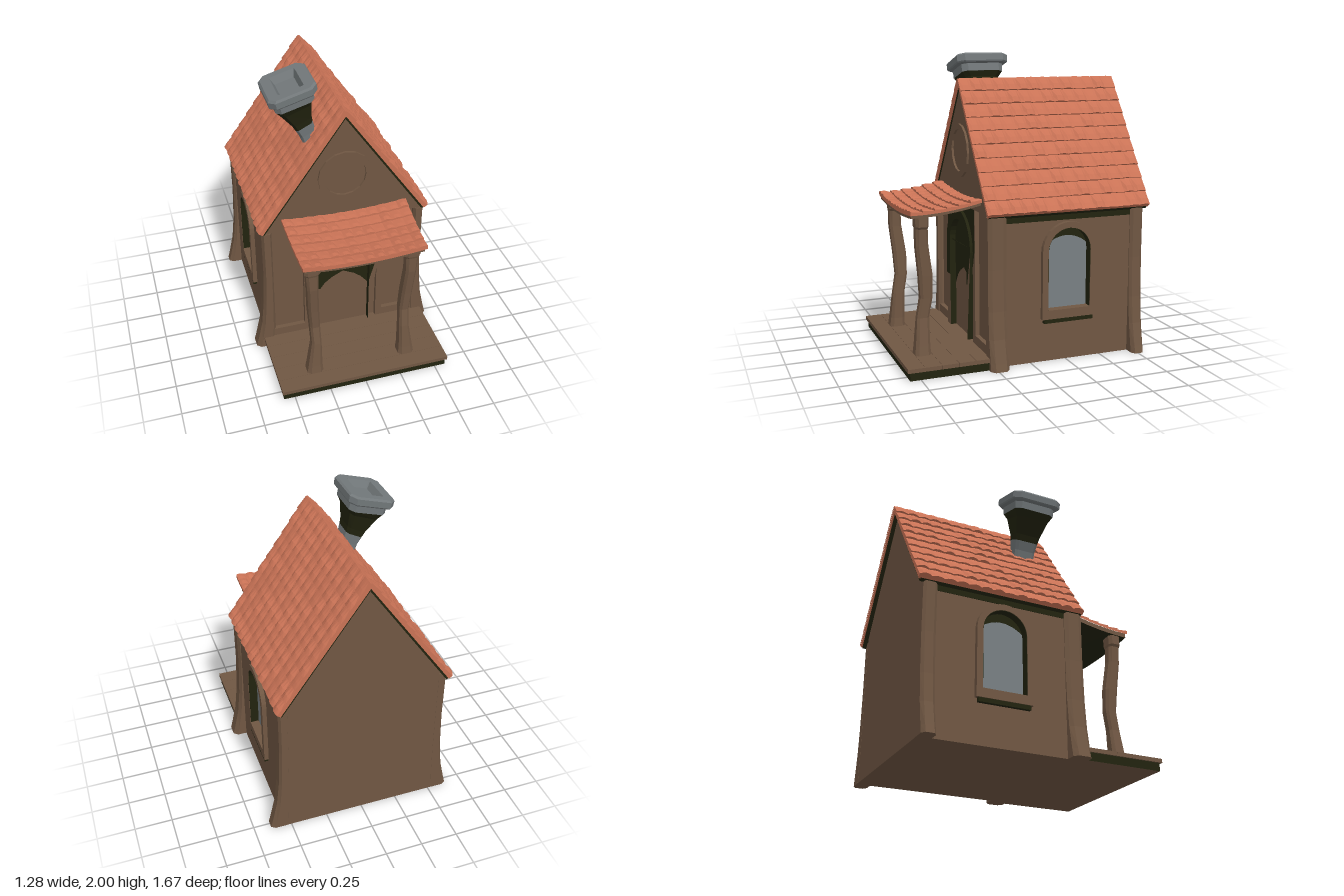
import * as THREE from 'three';

const material = (name, color) => Object.assign(new THREE.MeshStandardMaterial({ color }), { name });
const wood = material('brown wood', 0x705743);
const dark = material('dark timber', 0x22230f);
const tile = material('terracotta tile', 0xca7356);
const stone = material('grey stone', 0x72787a);
const glass = material('window glass', 0x798083);

let seed = 7;
const rand = () => (seed = (seed * 16807) % 2147483647) / 2147483647;
const lerp = THREE.MathUtils.lerp;

function add(parent, name, geometry, mat, x = 0, y = 0, z = 0) {
  const mesh = new THREE.Mesh(geometry, mat);
  mesh.name = name;
  mesh.position.set(x, y, z);
  parent.add(mesh);
  return mesh;
}

// Faceted geometry from points and indices
function faceted(positions, indices) {
  const g = new THREE.BufferGeometry();
  g.setAttribute('position', new THREE.Float32BufferAttribute(positions, 3));
  g.setIndex(indices);
  const flat = g.toNonIndexed();
  flat.computeVertexNormals();
  return flat;
}

// Chamfered rectangles joined upward; section = [x, y, z, halfX, halfZ, tilt, squareness]
function loft(sections) {
  const p = [], idx = [], last = (sections.length - 1) * 8;
  for (const [x, y, z, hx, hz, tilt = 0, c = 0.6] of sections)
    for (const [a, b] of [[1, -c], [1, c], [c, 1], [-c, 1], [-1, c], [-1, -c], [-c, -1], [c, -1]])
      p.push(x + a * hx * Math.cos(tilt), y + a * hx * Math.sin(tilt), z - b * hz);
  for (let s = 0; s < last; s += 8)
    for (let k = 0; k < 8; k++) {
      const a = s + k, b = s + (k + 1) % 8;
      idx.push(a, b, a + 8, b, b + 8, a + 8);
    }
  for (let k = 1; k < 7; k++) idx.push(0, k + 1, k, last, last + k, last + k + 1);
  return faceted(p, idx);
}

// Overlapping barrel tiles on a surface place(u, v, height)
function tiles(rows, cols, place, low, rise, bulge, skirt) {
  const sub = 4, n = cols * sub, p = [], idx = [];
  const line = (v, height) => {
    for (let i = -1; i <= n + 1; i++) {
      const u = Math.min(Math.max(i, 0), n) / n;
      p.push(...place(u, v, i < 0 || i > n ? -skirt : height(i)));
    }
  };
  line(0, () => -skirt);
  for (let r = 0; r < rows; r++) {
    const jitter = Array.from({ length: cols + 1 }, () => 0.4 + 1.2 * rand());
    const arch = i => Math.sin(Math.PI * (i % sub) / sub) * jitter[Math.floor(i / sub)];
    line(r / rows, i => low + bulge * 0.3 * arch(i));
    line((r + 0.6) / rows, i => low + rise * 0.6 + bulge * arch(i));
    line((r + 1) / rows, i => low + rise + bulge * 0.7 * arch(i));
  }
  line(1, () => -skirt);
  const w = n + 3;
  for (let j = 0; j < rows * 3 + 1; j++)
    for (let i = 0; i < w - 1; i++) {
      const a = j * w + i;
      idx.push(a, a + 1, a + w, a + 1, a + w + 1, a + w);
    }
  return faceted(p, idx);
}

// Round-topped outline, and an open band following it
function arch(half, bottom, spring, Type = THREE.Shape) {
  const s = new Type();
  s.moveTo(-half, bottom);
  s.lineTo(half, bottom);
  s.lineTo(half, spring);
  s.absarc(0, spring, half, 0, Math.PI, false);
  s.lineTo(-half, bottom);
  return s;
}
function archBand(outer, inner, bottom, spring) {
  const s = new THREE.Shape();
  s.moveTo(outer, bottom);
  s.absarc(0, spring, outer, 0, Math.PI, false);
  s.lineTo(-outer, bottom);
  s.lineTo(-inner, bottom);
  s.absarc(0, spring, inner, Math.PI, 0, true);
  s.lineTo(inner, bottom);
  return s;
}
const polygon = (pts, Type = THREE.Shape) => new Type(pts.map(q => new THREE.Vector2(...q)));
const rect = (x0, x1, y0, y1, Type) => polygon([[x0, y0], [x1, y0], [x1, y1], [x0, y1], [x0, y0]], Type);
function extrude(shape, depth, ...holes) {
  shape.holes.push(...holes);
  return new THREE.ExtrudeGeometry(shape, { depth, bevelEnabled: false, curveSegments: 8 });
}
const gable = half => polygon([[-half, 0], [half, 0], [half, 1.79 - 1.42 * half],
  [0, 1.79], [-half, 1.79 - 1.42 * half]]);

function addWalls(house) {
  add(house, 'houseCore', extrude(gable(0.51), 1.06), wood, 0, 0, -0.8);
  // Front face with panel and door recesses
  add(house, 'frontWall', extrude(gable(0.545), 0.03, arch(0.24, 0.08, 0.7, THREE.Path),
    rect(-0.515, -0.285, 0.14, 0.99, THREE.Path), rect(0.285, 0.515, 0.14, 0.99, THREE.Path)), wood, 0, 0, 0.26);
  add(house, 'doorFrame', extrude(archBand(0.25, 0.18, 0.08, 0.7), 0.05), [wood, dark], 0, 0, 0.26);
  add(house, 'door', extrude(arch(0.18, 0.08, 0.7), 0.008), wood, 0, 0, 0.26);
  // Dark upper door with a ragged lower edge, carried onto the frame and wall
  const ragged = polygon([[-0.18, 0.39], [-0.13, 0.46], [-0.08, 0.5], [0, 0.54], [0.08, 0.5], [0.13, 0.46], [0.18, 0.4]]);
  ragged.absarc(0, 0.7, 0.18, 0, Math.PI, false);
  add(house, 'doorUpperPanel', extrude(ragged, 0.002), dark, 0, 0, 0.268);
  add(house, 'doorFrameTop', extrude(archBand(0.25, 0.18, 0.45, 0.7), 0.002), dark, 0, 0, 0.31);
  add(house, 'doorSurround', extrude(archBand(0.272, 0.245, 0.6, 0.7), 0.002), dark, 0, 0, 0.29);
  add(house, 'doorSpandrels', extrude(rect(-0.275, 0.275, 0.7, 0.99), 0.002, arch(0.24, 0.71, 0.712, THREE.Path)),
    dark, 0, 0, 0.2905);
  // Round gable trim
  const ring = new THREE.Shape().absarc(0, 0, 0.182, 0, Math.PI * 2);
  const hole = new THREE.Path().absarc(0, 0, 0.142, 0, Math.PI * 2);
  add(house, 'gableRing', extrude(ring, 0.02, hole), wood, 0, 1.35, 0.285);

  for (const side of [1, -1]) {
    // Side wall with its arched window
    const wall = new THREE.Group();
    wall.name = side > 0 ? 'leftWall' : 'rightWall';
    wall.position.set(side * 0.51, 0, -0.26);
    wall.rotation.y = side * Math.PI / 2;
    add(wall, 'sideWall', extrude(rect(-0.54, 0.54, 0, 1.01), 0.035, arch(0.15, 0.35, 0.74, THREE.Path)), wood);
    add(wall, 'eaveBand', extrude(rect(-0.5, 0.5, 0.94, 1), 0.004), dark, 0, 0, 0.034);
    add(wall, 'windowFrame', extrude(arch(0.19, 0.29, 0.74), 0.035, arch(0.15, 0.35, 0.74, THREE.Path)), wood, 0, 0, 0.03);
    add(wall, 'windowLining', extrude(archBand(0.151, 0.147, 0.352, 0.74), 0.062), dark);
    add(wall, 'windowGlass', extrude(arch(0.15, 0.35, 0.74), 0.006), glass);
    const crescent = new THREE.Shape().absarc(0, 0.74, 0.148, 0.25, Math.PI - 0.25, false);
    crescent.quadraticCurveTo(0, 0.885, 0.143, 0.777);
    add(wall, 'windowHead', extrude(crescent, 0.003), dark, 0, 0, 0.005);
    add(wall, 'windowSill', new THREE.BoxGeometry(0.35, 0.028, 0.03), dark, 0, 0.276, 0.045);
    house.add(wall);
    // Corner posts with flared feet
    for (const [z, half] of [[0.235, 0.063], [-0.755, 0.046]]) {
      const profile = [[0, 0.638], [0.05, 0.625], [0.2, 0.592], [0.38, 0.573], [0.65, 0.563], [0.985, 0.565]];
      add(house, 'cornerPost', loft(profile.map(([y, outer]) =>
        [side * (outer + 0.495) / 2, y, z, (outer - 0.495) / 2, half])), wood);
    }
  }
}

function addRoof(house) {
  const roof = new THREE.Group();
  roof.name = 'mainRoof';
  roof.position.z = -0.265;
  const chevron = (x0, y0, top, x1, y1, under) =>
    polygon([[0, top], [x0, y0], [x1, y1], [0, under], [-x1, y1], [-x0, y0]]);
  add(roof, 'roofSlab', extrude(chevron(0.572, 1, 1.826, 0.56, 0.988, 1.79), 1.14), tile, 0, 0, -0.57);
  add(roof, 'roofUnderside', extrude(chevron(0.565, 0.992, 1.8, 0.55, 0.976, 1.768), 1.12), dark, 0, 0, -0.56);
  const slope = (u, v, h) => [0.572 * v + 0.822 * h, 1.826 - 0.826 * v + 0.57 * h, (u - 0.5) * 1.146];
  for (const turn of [0, Math.PI])
    add(roof, 'roofTiles', tiles(10, 14, slope, 0.006, 0.009, 0.014, 0.008), tile).rotation.y = turn;
  house.add(roof);
}

function addChimney(house) {
  const part = (name, mat, sections) => add(house, name,
    loft(sections.map(([x, y, hx, hz, t, c = 0.75]) => [x, y, 0.06, hx, hz, t, c])), mat);
  part('chimneyFoot', stone, [[-0.16, 1.48, 0.05, 0.07, 0.5], [-0.195, 1.6, 0.055, 0.075, 0.5],
    [-0.22, 1.66, 0.063, 0.083, 0.47]]);
  part('chimneyNeck', dark, [[-0.22, 1.66, 0.063, 0.083, 0.47], [-0.235, 1.7, 0.07, 0.09, 0.45],
    [-0.275, 1.8, 0.105, 0.12, 0.35], [-0.286, 1.84, 0.128, 0.145, 0.28]]);
  part('chimneyCollar', stone, [[-0.286, 1.84, 0.13, 0.147, 0.28], [-0.296, 1.89, 0.13, 0.15, 0.28]]);
  part('chimneyRim', stone, [[-0.3, 1.895, 0.153, 0.177, 0.28], [-0.302, 1.903, 0.159, 0.183, 0.28],
    [-0.31, 1.943, 0.16, 0.184, 0.28], [-0.312, 1.955, 0.148, 0.172, 0.28],
    [-0.312, 1.955, 0.085, 0.12, 0.28, 0.93], [-0.302, 1.91, 0.065, 0.095, 0.28, 0.93]]);
}

function addPorch(house) {
  const porch = new THREE.Group();
  porch.name = 'porch';
  // Dark-sided base under wooden planks
  add(porch, 'porchBase', new THREE.BoxGeometry(1.15, 0.06, 0.56), [dark, dark, wood, wood, dark, dark], 0, 0.03, 0.54);
  for (let i = 0; i < 5; i++)
    add(porch, 'porchPlank', new THREE.BoxGeometry(1.17, 0.026, 0.11), wood, 0, 0.067, 0.334 + i * 0.1115);

  // Crooked posts: [y, x, halfX, z, halfZ]
  const post = [[0.07, 0.325, 0.057, 0.673, 0.054], [0.14, 0.322, 0.048, 0.67, 0.048], [0.32, 0.308, 0.033, 0.66, 0.04],
    [0.45, 0.312, 0.034, 0.638, 0.04], [0.6, 0.322, 0.036, 0.643, 0.045], [0.8, 0.332, 0.037, 0.668, 0.041],
    [0.91, 0.335, 0.042, 0.67, 0.039], [0.925, 0.335, 0.053, 0.67, 0.043], [0.995, 0.335, 0.055, 0.67, 0.045]];
  for (const side of [1, -1])
    add(porch, 'porchPost', loft(post.map(([y, x, hx, z, hz]) => [side * x, y, z, hx, hz])), wood);

  // Sagging canopy over a bent wooden soffit with a dark underside
  const canopy = (u, v, h) => [(0.5 - u) * lerp(0.86, 0.82, v),
    1.075 - 0.06 * v * (2 - v) - 0.025 * (1 - (2 * u - 1) ** 2) + h, lerp(0.285, 0.755, v)];
  add(porch, 'porchTiles', tiles(6, 12, canopy, 0.008, 0.01, 0.011, 0.008), tile);
  const soffit = new THREE.BoxGeometry(0.96, 0.03, 0.97, 12, 1, 6);
  const pos = soffit.attributes.position;
  for (let i = 0; i < pos.count; i++)
    pos.setXYZ(i, ...canopy(0.5 - pos.getX(i), pos.getZ(i) + 0.5, pos.getY(i) - 0.012));
  soffit.computeVertexNormals();
  add(porch, 'porchSoffit', soffit, [wood, wood, wood, dark, wood, wood]);
  house.add(porch);
}

export function createModel() {
  seed = 7;
  const house = new THREE.Group();
  house.name = 'cottage';
  addWalls(house);
  addRoof(house);
  addChimney(house);
  addPorch(house);
  return house;
}
